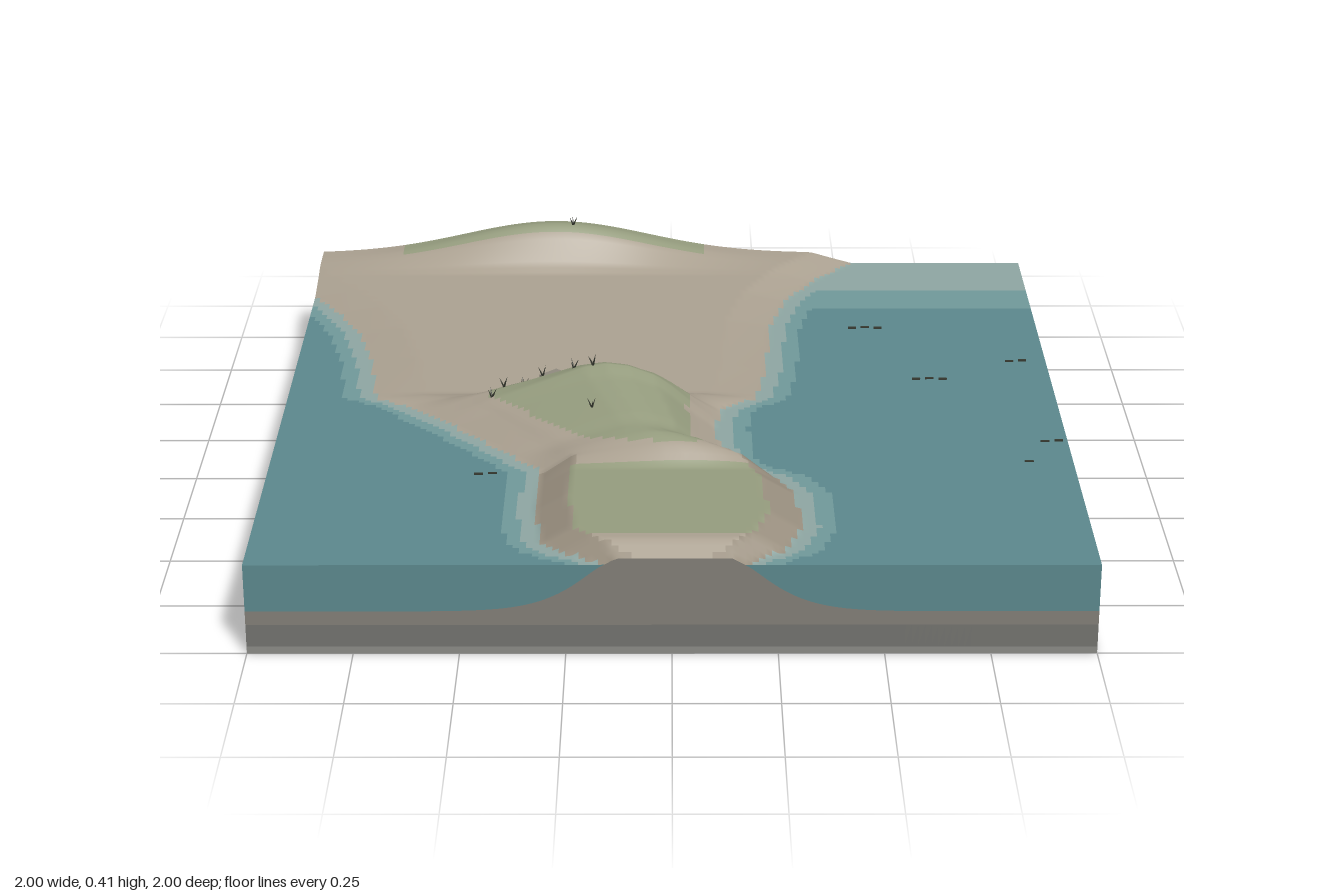
import * as THREE from 'three';

const N = 128, SEA = 0.23, FLOOR = 0.11;
const sat = (v) => Math.min(1, Math.max(0, v));
const smooth = (v) => { const t = sat(v); return t * t * (3 - 2 * t); };

// piecewise profile through [position, value] points
function profile(pts, p) {
  if (p <= pts[0][0]) return pts[0][1];
  for (let i = 1; i < pts.length; i++) {
    const [a, va] = pts[i - 1], [b, vb] = pts[i];
    if (p <= b) return va + (vb - va) * (p - a) / (b - a);
  }
  return pts[pts.length - 1][1];
}

// shorelines: x as a function of z
const WEST = [[-1, -1.2], [-0.73, -1], [-0.6, -0.92], [-0.45, -0.85], [-0.25, -0.8], [0, -0.77], [0.06, -0.68],
  [0.2, -0.55], [0.38, -0.4], [0.48, -0.32], [0.7, -0.33], [0.88, -0.31], [0.94, -0.26], [1, -0.16]];
const EAST = [[-1, 0.52], [-0.85, 0.4], [-0.7, 0.32], [-0.5, 0.27], [-0.2, 0.25], [0, 0.22], [0.08, 0.13],
  [0.2, 0.11], [0.42, 0.13], [0.5, 0.25], [0.6, 0.3], [0.8, 0.31], [0.92, 0.27], [1, 0.17]];
// hill and dune sections
const HILL_Z = [[-0.01, 0], [0.05, 0.3], [0.1, 0.85], [0.15, 1], [0.2, 0.87], [0.35, 0.65], [0.45, 0.45], [0.5, 0.25], [0.55, 0]];
const HILL_U = [[0, 0], [0.15, 0.22], [0.4, 0.7], [0.52, 0.93], [0.6, 1], [0.68, 0.95], [0.78, 0.76], [0.92, 0.25], [1, 0]];
const DUNE_Z = [[-1, 0.9], [-0.95, 1], [-0.92, 0.85], [-0.85, 0.15], [-0.82, 0]];

// distance inland (negative over water)
const inland = (x, z) => Math.min(x - profile(WEST, z), profile(EAST, z) - x);

function hillAt(x, z) {
  const w = profile(WEST, z), e = profile(EAST, z);
  return 0.145 * profile(HILL_U, (x - w) / (e - w)) * profile(HILL_Z, z);
}

// height of the ground, above and below water
function ground(x, z) {
  const d = inland(x, z);
  if (d <= 0) {
    const drop = 1 - Math.exp(-Math.pow(-d / 0.11, 1.3));
    const shelf = FLOOR + 0.115 * smooth((-z - 0.25) / 0.75);
    return Math.max(SEA - (SEA - FLOOR) * drop, shelf);
  }
  const beach = (0.006 + 0.026 * sat(-z / 0.85) + 0.012 * sat((z + 0.02) / 0.1)) * sat(d / 0.12);
  const mound = 0.046 * Math.min(sat(d / 0.08), sat((1.03 - z) / 0.08));
  const k = smooth((z - 0.38) / 0.12);
  const dune = 0.108 * Math.exp(-(((x + 0.33) / 0.37) ** 2)) * profile(DUNE_Z, z) * sat(d / 0.1);
  return SEA + beach * (1 - k) + mound * k + hillAt(x, z) + dune;
}
const surface = (x, z) => Math.max(SEA, ground(x, z));

const COLORS = {
  deepWater: 0x5c888d, midWater: 0x70999a, shallowWater: 0x8ea6a2,
  sand: 0xaaa090, bank: 0x9a9080, grass: 0x959c7e,
  seabed: 0x827f77, rock: 0x73736f, lowerRock: 0x8b8b86, underside: 0x4b453f, dark: 0x35382f, hut: 0x8f8a7e,
};

// which layer covers a spot
function cover(x, z) {
  const d = inland(x, z), g = ground(x, z);
  if (d <= 0) return SEA - g < 0.03 ? 'shallowWater' : SEA - g < 0.06 ? 'midWater' : 'deepWater';
  if (z < -0.92 && x > -0.76 && x < 0.1) return 'grass';
  if (z > 0.53 && z < 0.92 && d > 0.08) return 'grass';
  if (hillAt(x, z) > 0.045) return 'grass';
  if (z > 0.48 && d < 0.08) return 'bank';
  return 'sand';
}

function makeMesh(name, color, pos, nor) {
  const g = new THREE.BufferGeometry();
  g.setAttribute('position', new THREE.Float32BufferAttribute(pos, 3));
  g.setAttribute('normal', new THREE.Float32BufferAttribute(nor, 3));
  const m = new THREE.Mesh(g, new THREE.MeshStandardMaterial({ color }));
  m.name = name;
  return m;
}

// top of the block, one mesh per ground cover
function addSurface(group) {
  const layers = {}, e = 0.008, s = 2 / N;
  const put = (layer, x, z) => {
    const n = new THREE.Vector3(surface(x - e, z) - surface(x + e, z), 2 * e, surface(x, z - e) - surface(x, z + e)).normalize();
    layer.pos.push(x, surface(x, z), z);
    layer.nor.push(n.x, n.y, n.z);
  };
  for (let i = 0; i < N; i++) for (let j = 0; j < N; j++) {
    const x = -1 + i * s, z = -1 + j * s;
    const key = cover(x + s / 2, z + s / 2);
    const layer = layers[key] ??= { pos: [], nor: [] };
    for (const [a, b] of [[0, 0], [0, 1], [1, 1], [0, 0], [1, 1], [1, 0]]) put(layer, x + a * s, z + b * s);
  }
  for (const key in layers) group.add(makeMesh(key, COLORS[key], layers[key].pos, layers[key].nor));
}

// cut sides of the block, in horizontal strata
const SIDES = {
  front: { at: (t) => [t, 1], n: [0, 0, 1] },
  right: { at: (t) => [1, -t], n: [1, 0, 0] },
  back: { at: (t) => [-t, -1], n: [0, 0, -1] },
  left: { at: (t) => [-1, t], n: [-1, 0, 0] },
};
function addStrip(group, side, name, color, low, high) {
  const { at, n } = SIDES[side], pos = [], nor = [];
  for (let i = 0; i < N; i++) {
    const [x0, z0] = at(-1 + 2 * i / N), [x1, z1] = at(-1 + 2 * (i + 1) / N);
    const a = [x0, low(x0, z0), z0], b = [x1, low(x1, z1), z1];
    const c = [x1, high(x1, z1), z1], d = [x0, high(x0, z0), z0];
    for (const p of [a, b, c, a, c, d]) { pos.push(...p); nor.push(...n); }
  }
  group.add(makeMesh(side + name, color, pos, nor));
}
function addSides(group) {
  const level = (y) => () => y;
  for (const side in SIDES) {
    if (side === 'back') {
      addStrip(group, side, 'Rock', COLORS.rock, level(0), surface);
      continue;
    }
    addStrip(group, side, 'LowerRock', COLORS.lowerRock, level(0), level(0.018));
    addStrip(group, side, 'Rock', COLORS.rock, level(0.018), level(0.075));
    addStrip(group, side, 'Seabed', COLORS.seabed, level(0.075), ground);
    addStrip(group, side, 'Water', COLORS.deepWater, ground, surface);
  }
}

export function createModel() {
  const group = new THREE.Group();
  group.name = 'coastBlock';
  addSurface(group);
  addSides(group);

  const underside = new THREE.Mesh(new THREE.PlaneGeometry(2, 2), new THREE.MeshStandardMaterial({ color: COLORS.underside }));
  underside.rotation.x = Math.PI / 2;
  underside.name = 'underside';
  group.add(underside);

  const dark = new THREE.MeshStandardMaterial({ color: COLORS.dark });

  // small hut behind the hill
  const hut = new THREE.Mesh(new THREE.BoxGeometry(0.14, 0.045, 0.06), new THREE.MeshStandardMaterial({ color: COLORS.hut }));
  hut.position.set(-0.275, 0.245, -0.04);
  hut.rotation.y = -Math.PI / 4;
  hut.name = 'hut';
  group.add(hut);

  // grass tufts: three leaning blades each
  const blade = new THREE.ConeGeometry(0.003, 0.03, 4).translate(0, 0.015, 0);
  const tufts = [[-0.2, 0.15], [-0.25, 0.13], [-0.33, 0.1], [-0.38, 0.07], [-0.43, 0.1], [-0.46, 0.14], [-0.2, 0.3], [-0.28, -0.95]];
  tufts.forEach(([x, z], i) => {
    const tuft = new THREE.Group();
    tuft.name = 'grassTuft';
    for (let k = 0; k < 3; k++) {
      const b = new THREE.Mesh(blade, dark);
      b.rotation.set(0, i + k * 2.1, 0.45);
      b.name = 'blade';
      tuft.add(b);
    }
    tuft.position.set(x, surface(x, z) - 0.003, z);
    group.add(tuft);
  });

  // wave ripples on the water
  const dash = new THREE.BoxGeometry(0.022, 0.004, 0.005);
  for (const [x, z, n] of [[0.53, -0.49, 3], [0.92, -0.25, 2], [0.68, -0.125, 3], [0.96, 0.285, 2], [0.89, 0.41, 1], [-0.46, 0.485, 2]]) {
    for (let k = 0; k < n; k++) {
      const r = new THREE.Mesh(dash, dark);
      r.position.set(x + (k - (n - 1) / 2) * 0.035, SEA + 0.002, z - (k % 2) * 0.004);
      r.name = 'ripple';
      group.add(r);
    }
  }
  return group;
}
